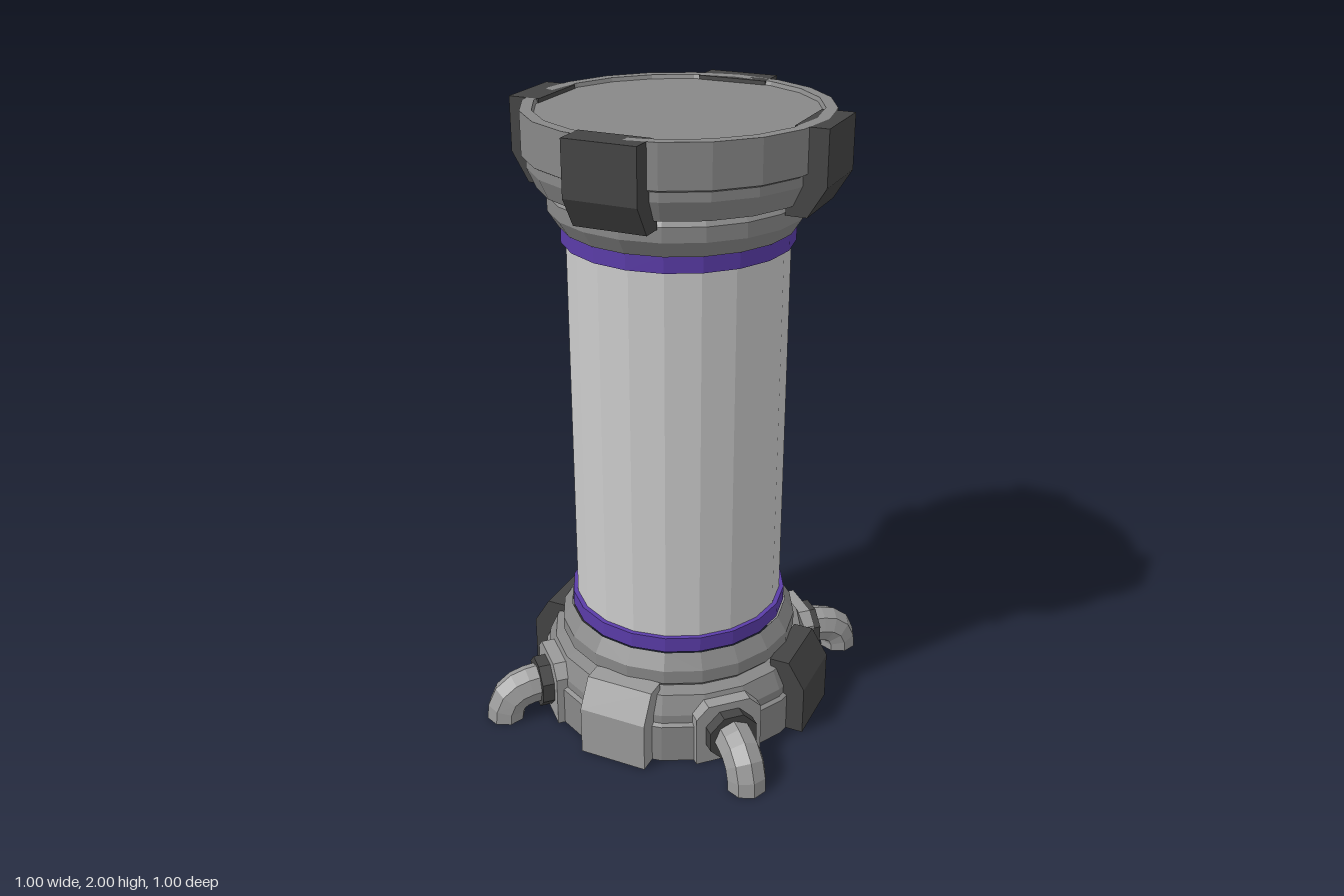
import * as THREE from 'three';

const SIDES = 20;
const material = (color, side = THREE.FrontSide) =>
  new THREE.MeshStandardMaterial({ color, flatShading: true, side });

const glass = material(0xcccccc);
const collarGrey = material(0x888888);
const shellGrey = material(0x888888, THREE.DoubleSide);
const lightGrey = material(0x9a9a9a);
const dark = material(0x444444);
const purple = material(0x5a3ca8);

function add(parent, name, geometry, mat) {
  const mesh = new THREE.Mesh(geometry, mat);
  mesh.name = name;
  parent.add(mesh);
  return mesh;
}

const lathe = (points) =>
  new THREE.LatheGeometry(points.map(([r, y]) => new THREE.Vector2(r, y)), SIDES);

// Reflects a profile about mid height, keeping it ordered from bottom to top
const flip = (points) => points.map(([r, y]) => [r, 2 - y]).reverse();

// Slab with a profile in the radius/height plane, centred across its width
function slab(points, width) {
  const shape = new THREE.Shape(points.map(([r, y]) => new THREE.Vector2(r, y)));
  return new THREE.ExtrudeGeometry(shape, { depth: width, bevelEnabled: false })
    .translate(0, 0, -width / 2);
}

// Outlet that leaves the base radially and bends down to the floor
function createOutlet() {
  const outlet = new THREE.Group();
  outlet.name = 'outlet';

  // Mounting plate with clipped upper corners
  const plate = new THREE.Shape([
    [-0.11, 0], [0.11, 0], [0.11, 0.17], [0.07, 0.21], [-0.07, 0.21], [-0.11, 0.17],
  ].map(([x, y]) => new THREE.Vector2(x, y)));
  const plateGeometry = new THREE.ExtrudeGeometry(plate, { depth: 0.065, bevelEnabled: false })
    .rotateY(Math.PI / 2).translate(0.4, 0, 0);
  add(outlet, 'outletPlate', plateGeometry, lightGrey);

  // Octagonal flange
  const flange = new THREE.CylinderGeometry(0.085, 0.085, 0.045, 8)
    .rotateY(Math.PI / 8).rotateZ(Math.PI / 2).translate(0.482, 0.105, 0);
  add(outlet, 'outletFlange', flange, dark);

  // Bent pipe and its end
  const path = new THREE.CubicBezierCurve3(
    new THREE.Vector3(0.46, 0.105, 0), new THREE.Vector3(0.57, 0.105, 0),
    new THREE.Vector3(0.615, 0.085, 0), new THREE.Vector3(0.615, 0, 0));
  add(outlet, 'outletPipe', new THREE.TubeGeometry(path, 6, 0.064, 8), lightGrey);
  const end = new THREE.CircleGeometry(0.064, 8).rotateX(Math.PI / 2).translate(0.615, 0.001, 0);
  add(outlet, 'outletEnd', end, lightGrey);
  return outlet;
}

export function createModel() {
  const model = new THREE.Group();
  model.name = 'containmentTube';

  // Central tube and its coloured bands
  add(model, 'tube', new THREE.CylinderGeometry(0.34, 0.34, 1.24, SIDES).translate(0, 1, 0), glass);
  for (const [name, y] of [['lowerBand', 0.37], ['upperBand', 1.63]]) {
    add(model, name, new THREE.CylinderGeometry(0.355, 0.355, 0.05, SIDES).translate(0, y, 0), purple);
  }

  // Stepped collars: hollow base and capped top with a shallow rim
  const profile = [
    [0.46, 0], [0.46, 0.13], [0.447, 0.137], [0.447, 0.165], [0.42, 0.225],
    [0.378, 0.235], [0.392, 0.25], [0.392, 0.295], [0.36, 0.345],
  ];
  add(model, 'baseCollar', lathe(profile), shellGrey);
  const cap = [[0.425, 2], [0.42, 1.988], [0, 1.988]];
  add(model, 'topCollar', lathe([...flip(profile), ...cap]), collarGrey);

  // Four brackets on each collar; the front one at the base is lighter
  const bracket = [[0.4, 0], [0.5, 0], [0.5, 0.165], [0.445, 0.255], [0.38, 0.255]];
  const baseBracket = slab(bracket, 0.224);
  const topBracket = slab(flip(bracket), 0.224);
  for (let i = 0; i < 4; i++) {
    const angle = (i * Math.PI) / 2;
    add(model, 'topBracket', topBracket, dark).rotation.y = angle;
    add(model, 'baseBracket', baseBracket, i === 3 ? lightGrey : dark).rotation.y = angle;

    // Outlets on the diagonals
    const outlet = createOutlet();
    outlet.rotation.y = angle + Math.PI / 4;
    model.add(outlet);
  }
  return model;
}
